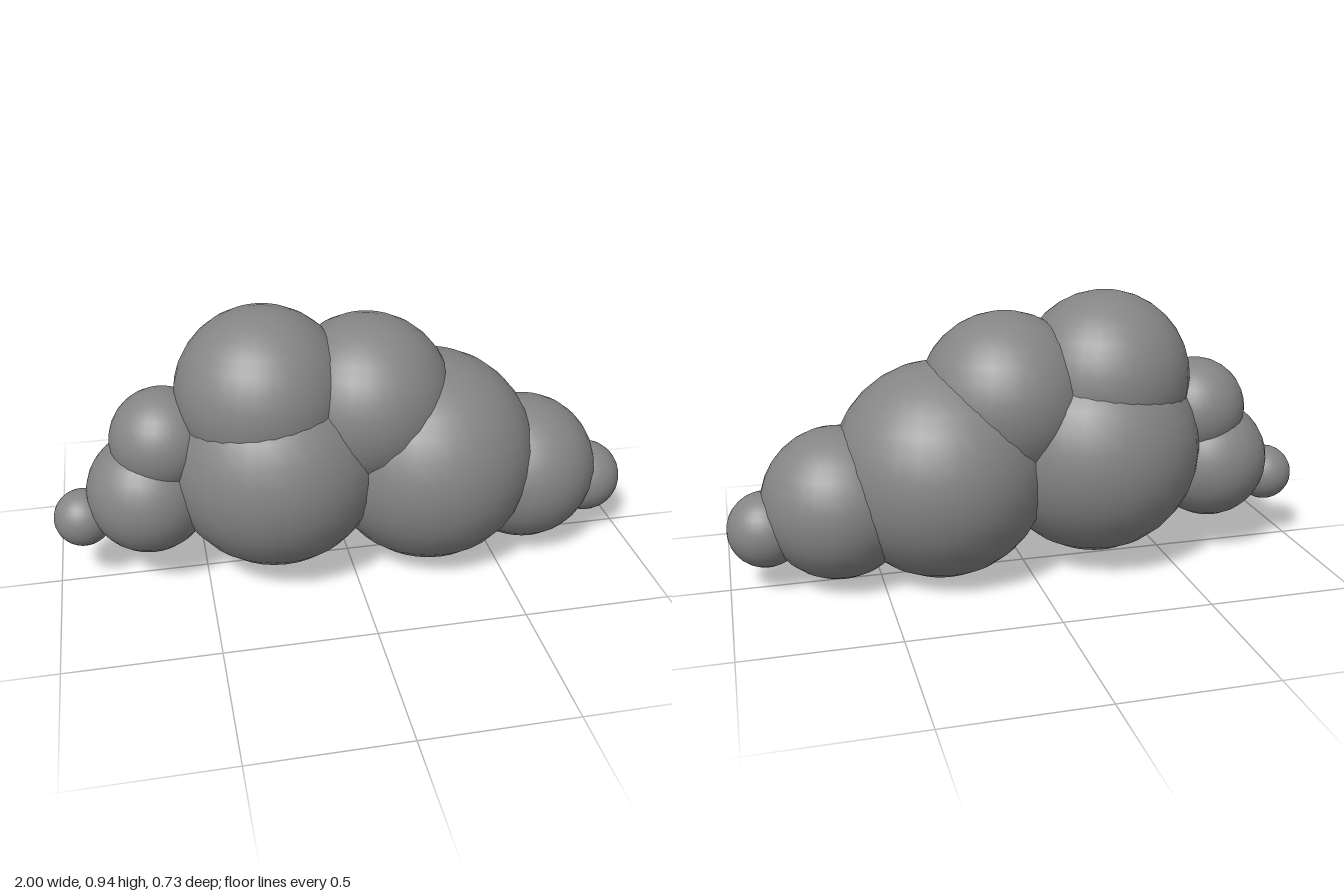
import * as THREE from 'three';

// Cloud puffs: name, centre x, centre y, radius
const PUFFS = [
  ['rightTipPuff', -0.903, 0.247, 0.097],
  ['rightLowerPuff', -0.678, 0.325, 0.208],
  ['rightUpperPuff', -0.62, 0.515, 0.175],
  ['rightBodyPuff', -0.25, 0.408, 0.367],
  ['rightCrownPuff', -0.285, 0.652, 0.291],
  ['leftCrownPuff', 0.063, 0.598, 0.291],
  ['leftBodyPuff', 0.285, 0.367, 0.367],
  ['leftLowerPuff', 0.632, 0.279, 0.256],
  ['leftTipPuff', 0.873, 0.207, 0.127],
];

export function createModel() {
  const cloud = new THREE.Group();
  cloud.name = 'cloud';
  const material = new THREE.MeshStandardMaterial({ color: 0x858585 });
  const sphere = new THREE.SphereGeometry(1, 32, 16);

  // Overlapping smooth spheres, all on the z = 0 plane
  for (const [name, x, y, radius] of PUFFS) {
    const puff = new THREE.Mesh(sphere, material);
    puff.name = name;
    puff.position.set(x, y, 0);
    puff.scale.setScalar(radius);
    cloud.add(puff);
  }
  return cloud;
}
